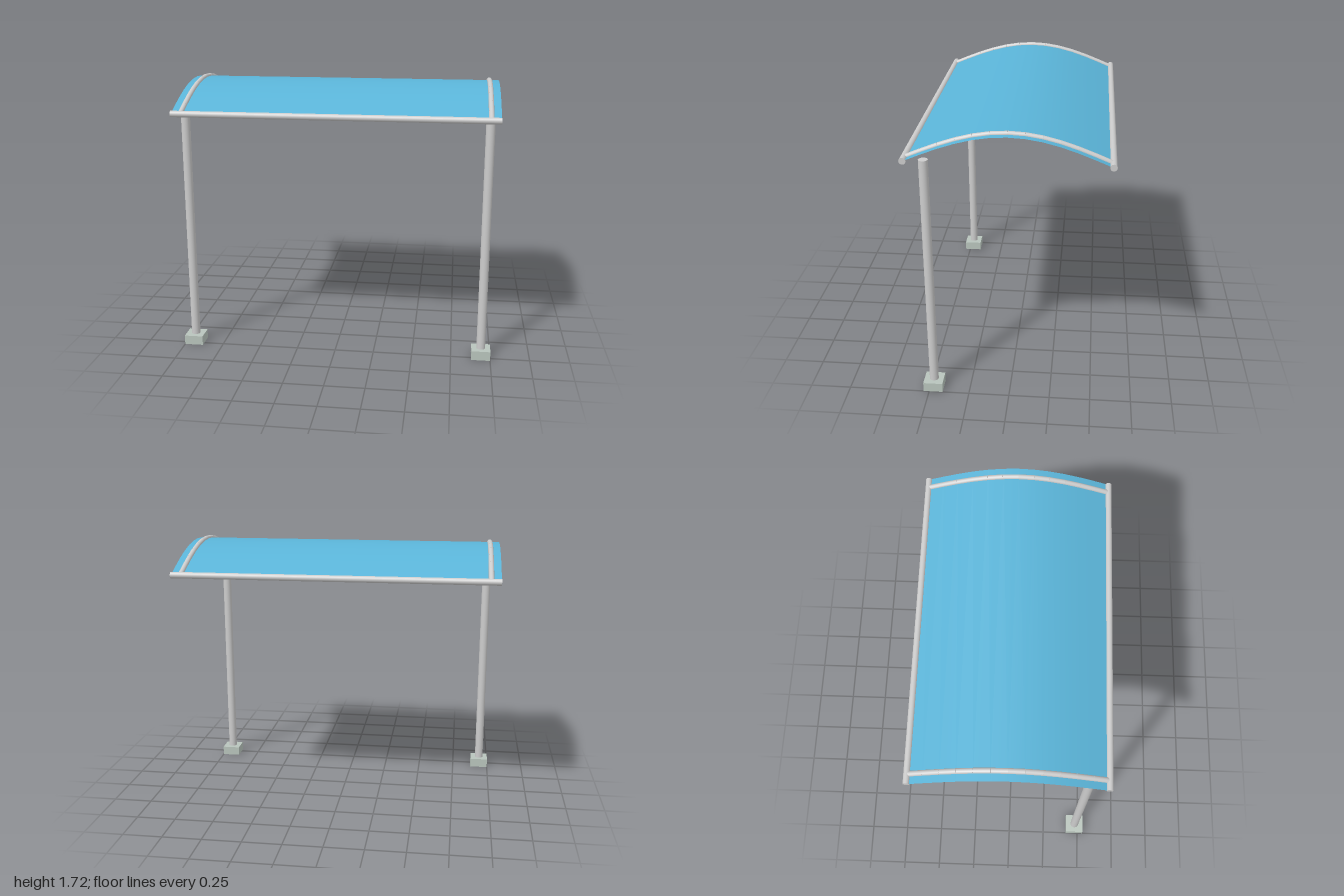
import * as THREE from 'three';

const HALF_SPAN = 0.58, EAVE = 1.55, RISE = 0.157, SEGMENTS = 12;

// Point on the roof arch, t from 0 (back eave) to 1 (front eave)
function archPoint(t, x = 0) {
  return new THREE.Vector3(x, EAVE + RISE * Math.sin(Math.PI * t), (2 * t - 1) * HALF_SPAN);
}

export function createModel() {
  const group = new THREE.Group();
  const metal = new THREE.MeshStandardMaterial({ color: 0xcccccc });
  const concrete = new THREE.MeshStandardMaterial({ color: 0xb8c4bc });
  const blue = new THREE.MeshStandardMaterial({ color: 0x5ab4d8, side: THREE.DoubleSide });

  function add(parent, name, geometry, material, x = 0, y = 0, z = 0) {
    const mesh = new THREE.Mesh(geometry, material);
    mesh.name = name;
    mesh.position.set(x, y, z);
    parent.add(mesh);
    return mesh;
  }

  // Curved roof sheet: a flat plane bent along the arch
  const sheet = new THREE.PlaneGeometry(2, 1, 1, SEGMENTS);
  const pos = sheet.attributes.position;
  for (let i = 0; i < pos.count; i++) {
    const p = archPoint(0.5 - pos.getY(i), pos.getX(i));
    pos.setXYZ(i, p.x, p.y, p.z);
  }
  sheet.computeVertexNormals();
  add(group, 'roofSheet', sheet, blue);

  // Long rails at the front and back eaves
  const rail = new THREE.CylinderGeometry(0.02, 0.02, 2, 20).rotateZ(Math.PI / 2);
  add(group, 'frontRail', rail, metal, 0, EAVE, HALF_SPAN);
  add(group, 'backRail', rail, metal, 0, EAVE, -HALF_SPAN);

  for (const [side, sign] of [['left', 1], ['right', -1]]) {
    const x = sign * 0.94;

    // Post on its square footing
    add(group, side + 'Footing', new THREE.BoxGeometry(0.12, 0.06, 0.12), concrete, x, 0.03, 0.475);
    add(group, side + 'Post', new THREE.CylinderGeometry(0.028, 0.028, 1.48, 24), metal, x, 0.8, 0.475);

    // Arched rib made of short straight tubes
    const rib = new THREE.Group();
    rib.name = side + 'Rib';
    group.add(rib);
    for (let i = 0; i < SEGMENTS; i++) {
      const a = archPoint(i / SEGMENTS, x), b = archPoint((i + 1) / SEGMENTS, x);
      const dir = b.clone().sub(a);
      const tube = new THREE.CylinderGeometry(0.0165, 0.0165, dir.length(), 16);
      const mesh = add(rib, 'ribTube', tube, metal);
      mesh.position.copy(a).lerp(b, 0.5);
      mesh.quaternion.setFromUnitVectors(new THREE.Vector3(0, 1, 0), dir.normalize());
    }
  }
  return group;
}
